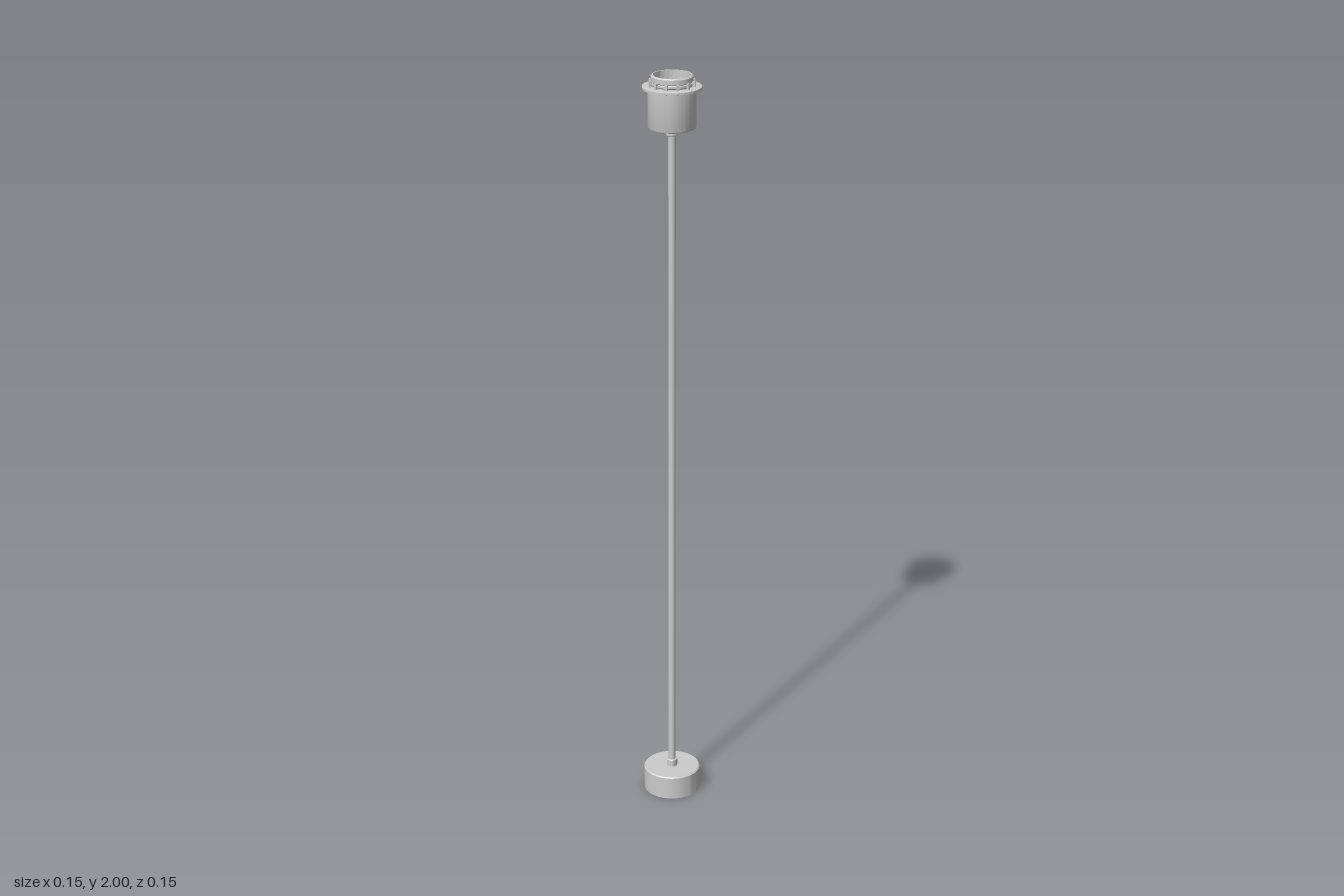
import * as THREE from 'three';
import { toCreasedNormals } from 'three/addons/utils/BufferGeometryUtils.js';

const material = new THREE.MeshStandardMaterial({ color: 0xcccccc, side: THREE.DoubleSide });

// Closed profile [radius, height] turned about the y axis; outer side runs upwards
function turned(name, profile, segments = 64) {
  const points = [...profile, profile[0]].map(([r, y]) => new THREE.Vector2(r, y));
  const geometry = toCreasedNormals(new THREE.LatheGeometry(points, segments), 0.5);
  const mesh = new THREE.Mesh(geometry, material);
  mesh.name = name;
  return mesh;
}

// Plain ring of rectangular section
const ring = (name, inner, outer, y0, y1, segments) =>
  turned(name, [[inner, y0], [outer, y0], [outer, y1], [inner, y1]], segments);

// Equal boxes spread around the axis; size is [radial, height, tangential]
function spread(name, count, radius, y, size, start = 0) {
  const group = new THREE.Group();
  group.name = name;
  const geometry = new THREE.BoxGeometry(...size);
  for (let i = 0; i < count; i++) {
    const a = start + (i / count) * Math.PI * 2;
    const box = new THREE.Mesh(geometry, material);
    box.name = name + 'Piece';
    box.position.set(radius * Math.cos(a), y, radius * Math.sin(a));
    box.rotation.y = -a;
    group.add(box);
  }
  return group;
}

function createCanopy() {
  const group = new THREE.Group();
  group.name = 'canopy';
  // Hollow cup, open underneath
  group.add(turned('canopyShell', [
    [0.073, 0], [0.076, 0], [0.076, 0.062], [0.073, 0.065],
    [0.0098, 0.065], [0.0098, 0.061], [0.072, 0.061], [0.073, 0.06],
  ]));
  // Mounting plate inside the opening
  group.add(ring('mountingPlate', 0.032, 0.0725, 0.008, 0.012));
  group.add(ring('mountingRim', 0.032, 0.035, 0.004, 0.012));
  group.add(spread('mountingLugs', 8, 0.052, 0.006, [0.02, 0.005, 0.008]));
  // Small side screws
  for (const side of [-1, 1]) {
    const screw = new THREE.Mesh(new THREE.CylinderGeometry(0.004, 0.004, 0.004, 16), material);
    screw.name = 'sideScrew';
    const direction = new THREE.Vector3(side * 0.866, 0, 0.5);
    screw.quaternion.setFromUnitVectors(new THREE.Vector3(0, 1, 0), direction);
    screw.position.copy(direction).multiplyScalar(0.0752).setY(0.05);
    group.add(screw);
  }
  return group;
}

function createSocket() {
  const group = new THREE.Group();
  group.name = 'socket';
  // Outer cup with rounded lower edge
  group.add(turned('socketCup', [
    [0.0098, 1.865], [0.056, 1.865], [0.0595, 1.8665], [0.061, 1.87],
    [0.061, 1.97], [0.057, 1.97], [0.057, 1.87], [0.0098, 1.87],
  ]));
  // Clamping ring around the top of the cup
  group.add(turned('clampRing', [
    [0.05, 1.964], [0.0715, 1.964], [0.0745, 1.965], [0.0745, 1.971],
    [0.0715, 1.972], [0.05, 1.972],
  ]));
  group.add(spread('clampRibs', 12, 0.0555, 1.979, [0.007, 0.015, 0.006], 0.13));
  // Threaded crown
  group.add(turned('crown', [
    [0.047, 1.92], [0.051, 1.92], [0.051, 1.974], [0.053, 1.976], [0.053, 1.981],
    [0.051, 1.983], [0.053, 1.985], [0.053, 1.997], [0.05, 2], [0.047, 2],
  ]));
  // Inner lamp seat with contacts
  group.add(ring('seatFloor', 0.0098, 0.0475, 1.92, 1.925));
  group.add(ring('seatWall', 0.032, 0.036, 1.925, 1.96));
  group.add(ring('seatHub', 0.0098, 0.015, 1.925, 1.94, 32));
  group.add(spread('seatLugs', 6, 0.0435, 1.965, [0.008, 0.04, 0.004], 0.5));
  group.add(spread('contacts', 4, 0.024, 1.935, [0.009, 0.02, 0.012], 0.35));
  return group;
}

export function createModel() {
  const model = new THREE.Group();
  model.name = 'pendantLampHolder';
  model.add(createCanopy(), createSocket());

  // Hollow cord and the grips at its two ends
  const cord = new THREE.Mesh(new THREE.CylinderGeometry(0.0095, 0.0095, 1.804, 24, 1, true), material);
  cord.name = 'cord';
  cord.position.y = 0.965;
  model.add(cord);
  model.add(turned('lowerCordGrip', [
    [0.0095, 0.065], [0.0145, 0.065], [0.0145, 0.083], [0.0125, 0.085], [0.0095, 0.085],
  ], 32));
  model.add(turned('upperCordGrip', [
    [0.0095, 1.845], [0.0125, 1.845], [0.0145, 1.847], [0.0145, 1.865], [0.0095, 1.865],
  ], 32));
  return model;
}
